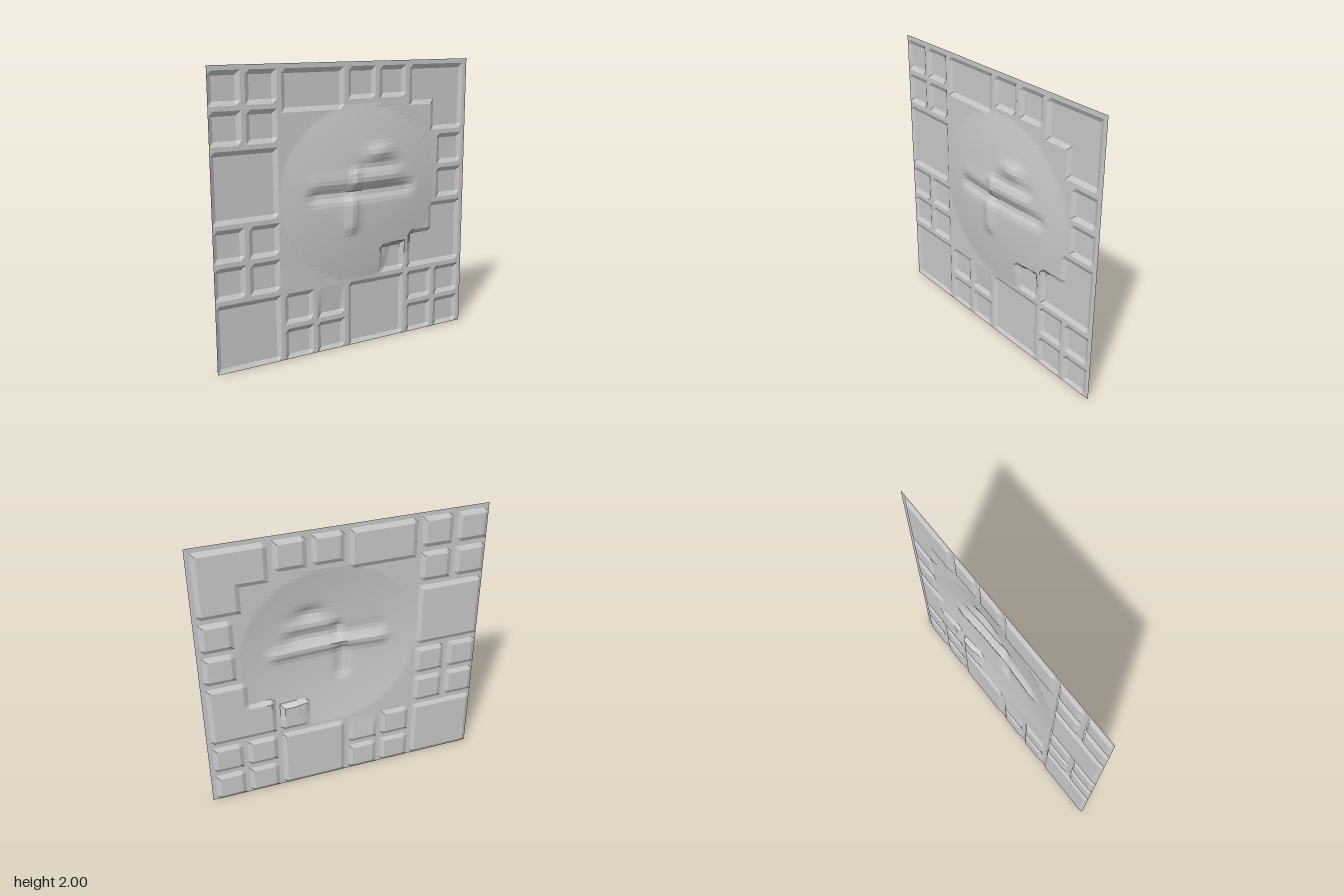
import * as THREE from 'three';

// Rim and floor depth of the square panel; 64 steps across, 8 per small tile
const RIM = -0.025, FLOOR = -0.04, STEPS = 64;

// Recessed tiles: [column, row, columns, rows] counted from the lower left corner
const tiles = [
  [0, 0, 2, 2], [0, 4, 2, 2], [2, 6, 2, 2], [4, 0, 2, 2], [6, 6, 2, 2], [6, 2, 2, 2],
  [4, 7, 1, 1], [5, 7, 1, 1], [7, 5, 1, 1], [7, 4, 1, 1],
];
for (const [c, r] of [[0, 6], [0, 2], [2, 0], [6, 0]]) { // blocks of four small tiles
  for (let i = 0; i < 4; i++) tiles.push([c + (i % 2), r + (i >> 1), 1, 1]);
}

// Parts of large tiles that are filled up by the dome
const fills = [[2, 6, 2, 1], [6, 6, 1, 1], [6, 3, 1, 1]];

const inside = (ix, iy) => ([c, r, w, h]) =>
  ix > c * 8 && ix < (c + w) * 8 - 1 && iy > r * 8 && iy < (r + h) * 8 - 1;

const bell = (d, width) => Math.exp(-((d / width) ** 2));
// 1 between a and b, fading to 0 over the distance f
const band = (v, a, b, f) =>
  THREE.MathUtils.smoothstep(v, a - f, a) * (1 - THREE.MathUtils.smoothstep(v, b, b + f));

// Shallow dome with ridges and creases
function dome(x, y) {
  const r2 = ((x - 0.1) / 0.63) ** 2 + ((y - 1.1) / 0.62) ** 2;
  if (r2 >= 1) return RIM;
  let z = RIM + 0.045 * (1 - r2);
  z -= 0.024 * bell(y - 1.115, 0.045) * band(x, -0.25, 0.45, 0.12); // cross valley
  z += 0.013 * bell(y - 1.21, 0.05) * band(x, 0.14, 0.32, 0.15); // side ridge
  z += 0.006 * bell(y - 1.21, 0.05) * band(x, -0.25, -0.08, 0.1);
  z += 0.021 * bell(x - 0.005, 0.05) * band(y, 0.9, 1.05, 0.1); // lower central ridge
  z += 0.02 * bell(x - 0.03, 0.04) * band(y, 1.18, 1.25, 0.05); // upper central knob
  z -= 0.009 * bell(y - 1.29, 0.035) * band(x, 0.12, 0.35, 0.12); // upper crease
  z += 0.024 * bell(x - 0.23, 0.1) * bell(y - 1.385, 0.05); // upper bump
  return Math.max(RIM, z);
}

function height(x, y) {
  const ix = Math.round((x + 1) * 32), iy = Math.round(y * 32);
  const hit = inside(ix, iy);
  if (tiles.some(hit) && !fills.some(hit)) {
    // One tile slopes down gently from its upper edge
    if (hit([3, 1, 1, 1])) return THREE.MathUtils.mapLinear(y, 0.28, 0.47, FLOOR, RIM);
    return FLOOR;
  }
  // Half-buried tile with a slanting left side
  if (hit([5, 2, 1, 1])) {
    const edge = 0.25 + (y - 0.5) * 0.3;
    return THREE.MathUtils.clamp(RIM - (x - edge) * 0.3, FLOOR, RIM);
  }
  return dome(x, y);
}

export function createModel() {
  const group = new THREE.Group();
  const stone = new THREE.MeshStandardMaterial({
    color: 0xcccccc, flatShading: true, side: THREE.DoubleSide,
  });
  stone.name = 'stoneGrey';

  // Thin sheet pressed into the relief
  const sheet = new THREE.PlaneGeometry(2, 2, STEPS, STEPS).translate(0, 1, 0);
  const p = sheet.attributes.position;
  for (let i = 0; i < p.count; i++) p.setZ(i, height(p.getX(i), p.getY(i)));
  sheet.computeVertexNormals();

  const panel = new THREE.Mesh(sheet, stone);
  panel.name = 'reliefPanel';
  group.add(panel);
  return group;
}
